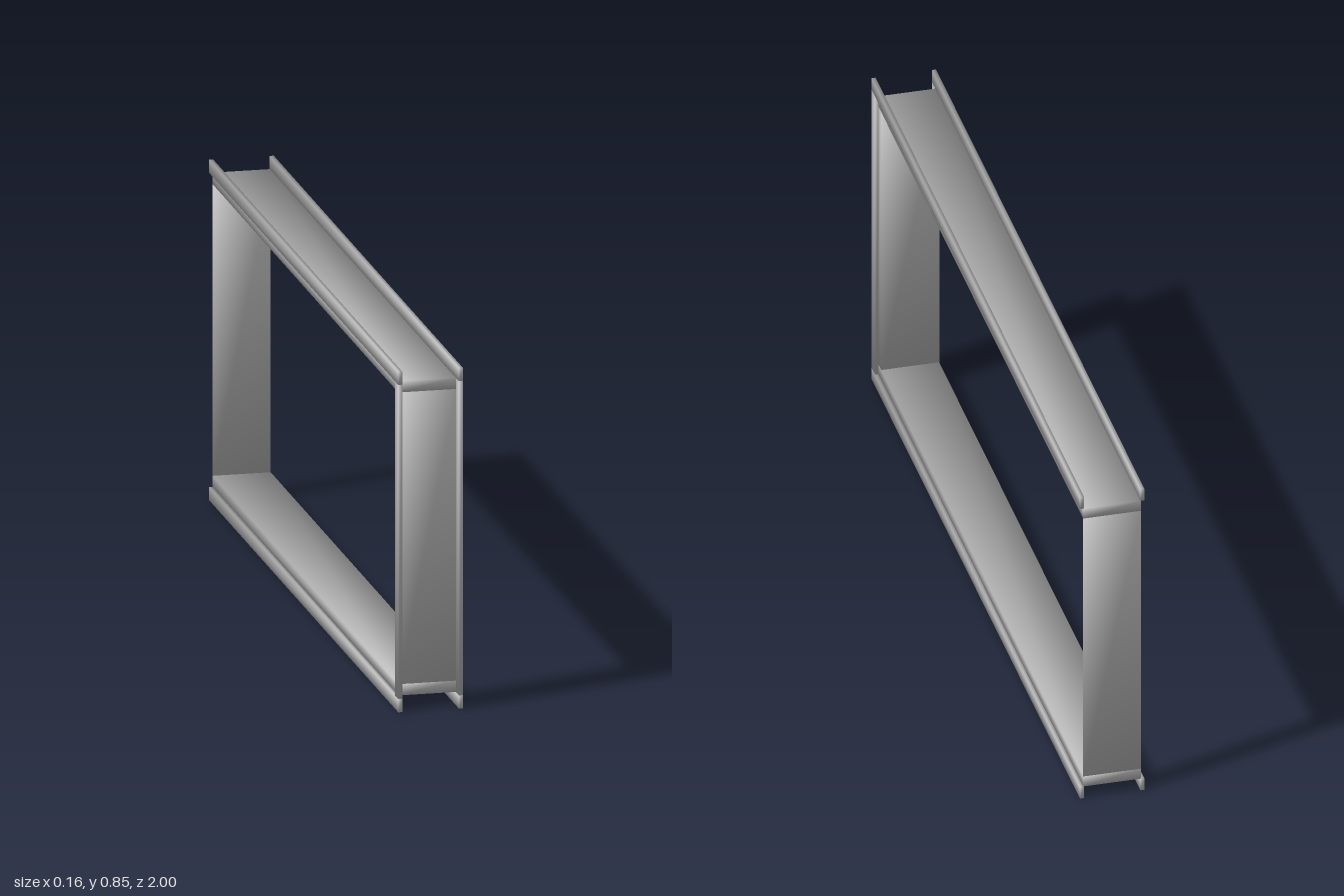
import * as THREE from 'three';

const metal = new THREE.MeshStandardMaterial({ color: 0xa4a4a4 });
metal.name = 'grey metal';

// Box given by its limits, with smooth normals pointing out through the corners
function softBox(name, [x0, x1], [y0, y1], [z0, z1]) {
  const geo = new THREE.BoxGeometry(x1 - x0, y1 - y0, z1 - z0);
  const { position, normal } = geo.attributes;
  const corner = new THREE.Vector3();
  for (let i = 0; i < position.count; i++) {
    corner.fromBufferAttribute(position, i);
    corner.set(Math.sign(corner.x), Math.sign(corner.y), Math.sign(corner.z)).normalize();
    normal.setXYZ(i, corner.x, corner.y, corner.z);
  }
  geo.translate((x0 + x1) / 2, (y0 + y1) / 2, (z0 + z1) / 2);
  const mesh = new THREE.Mesh(geo, metal);
  mesh.name = name;
  return mesh;
}

export function createModel() {
  const frame = new THREE.Group();
  frame.name = 'channelFrame';
  const H = 0.85, lip = 0.033, depth = 0.061, w = 0.072;

  // Webs of the rails and the front post
  frame.add(
    softBox('topRailWeb', [-w, w], [H - depth, H - lip], [-1, 1 - lip]),
    softBox('bottomRailWeb', [-w, w], [lip, depth], [-1, 1 - lip]),
    softBox('frontPostWeb', [-w, w], [depth, H - depth], [1 - depth, 1 - lip]),
    // Thin plate closing the back
    softBox('backPlate', [-w, w], [depth, H - depth], [-1, -0.998])
  );

  // Outward flanges on both sides
  for (const [side, x] of [['right', [-0.08, -0.07]], ['left', [0.07, 0.08]]]) {
    frame.add(
      softBox(side + 'TopFlange', x, [H - lip, H], [-1, 1]),
      softBox(side + 'BottomFlange', x, [0, lip], [-1, 1]),
      softBox(side + 'PostFlange', x, [lip, H - lip], [1 - lip, 1])
    );
  }
  return frame;
}
